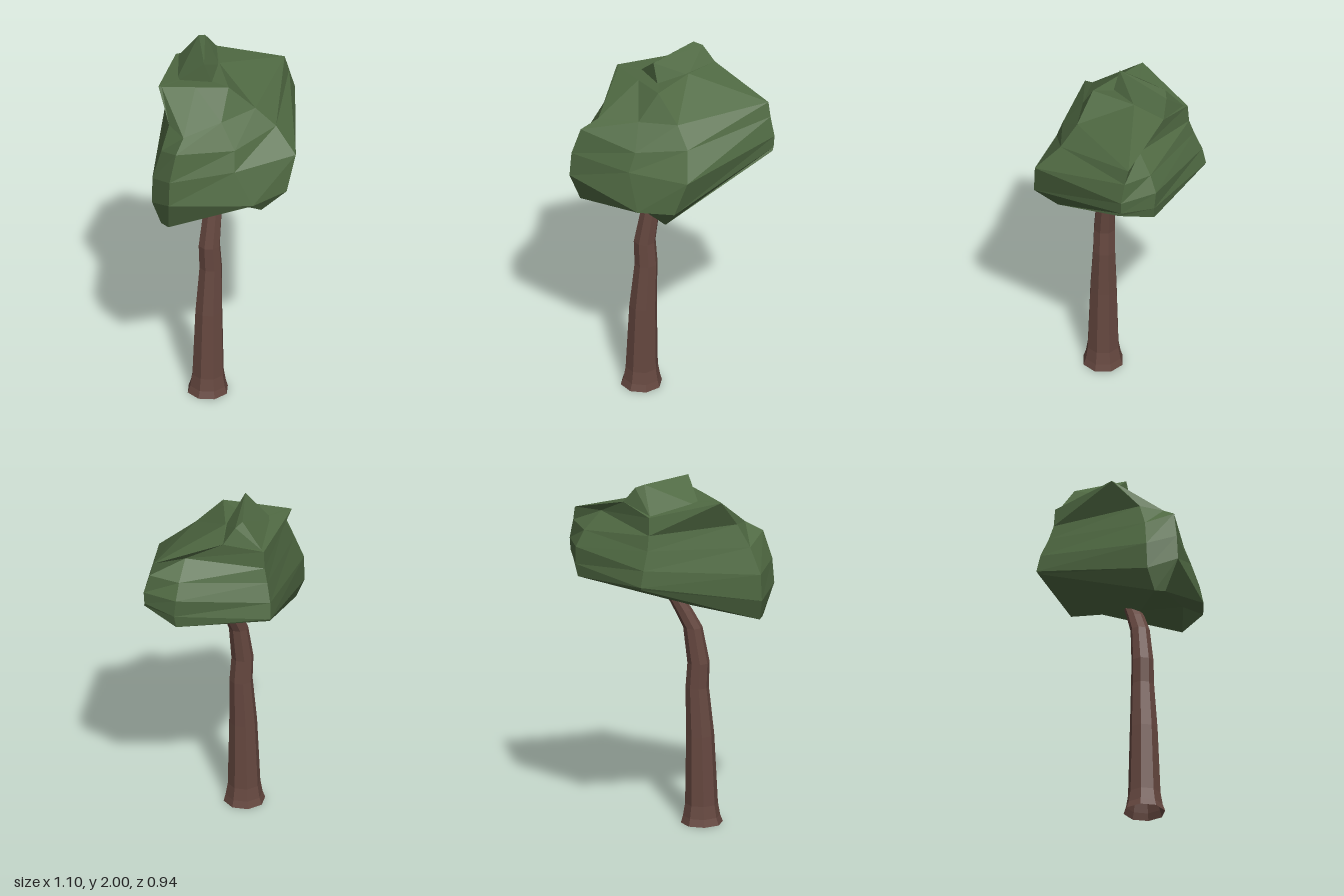
import * as THREE from 'three';
import { ConvexGeometry } from 'three/addons/geometries/ConvexGeometry.js';

const bark = new THREE.MeshStandardMaterial({ color: 0x664840, flatShading: true, side: THREE.DoubleSide });
const leaf = new THREE.MeshStandardMaterial({ color: 0x506a43, flatShading: true, side: THREE.DoubleSide });

// Skins a stack of rings (counter-clockwise from above); optional centre points close the ends
function loft(rings, bottom, top) {
  const n = rings[0].length;
  const pos = [];
  const tri = (a, b, c) => pos.push(...a, ...b, ...c);
  for (let k = 0; k < rings.length - 1; k++) {
    for (let i = 0; i < n; i++) {
      const j = (i + 1) % n;
      tri(rings[k][i], rings[k][j], rings[k + 1][j]);
      tri(rings[k][i], rings[k + 1][j], rings[k + 1][i]);
    }
  }
  const last = rings[rings.length - 1];
  for (let i = 0; i < n; i++) {
    const j = (i + 1) % n;
    if (bottom) tri(rings[0][j], rings[0][i], bottom);
    if (top) tri(last[i], last[j], top);
  }
  const g = new THREE.BufferGeometry();
  g.setAttribute('position', new THREE.Float32BufferAttribute(pos, 3));
  g.computeVertexNormals();
  return g;
}

function addPart(group, name, geometry, material) {
  const mesh = new THREE.Mesh(geometry, material);
  mesh.name = name;
  group.add(mesh);
}

export function createModel() {
  const group = new THREE.Group();
  group.name = 'tree';

  // Crooked tapering trunk: centre x, height, centre z, radius; open at the foot
  const sides = 8;
  const trunkRings = [
    [-0.172, 0, 0.09, 0.115],
    [-0.17, 0.04, 0.09, 0.102],
    [-0.17, 0.11, 0.09, 0.09],
    [-0.163, 0.5, 0.088, 0.077],
    [-0.147, 0.77, 0.085, 0.064],
    [-0.155, 0.91, 0.083, 0.061],
    [-0.125, 1.11, 0.076, 0.053],
    [-0.075, 1.21, 0.062, 0.049],
    [-0.02, 1.31, 0.04, 0.04],
  ].map(([x, y, z, r]) => Array.from({ length: sides }, (_, i) => {
    const a = ((i + 0.5) / sides) * Math.PI * 2;
    return [x + r * Math.sin(a), y, z + r * Math.cos(a)];
  }));
  addPart(group, 'trunk', loft(trunkRings, null, [-0.01, 1.32, 0.035]), bark);

  // Faceted crown; corners run front, right, back right, back, two left, front left
  const crownRings = [
    [[0, 1.18, 0.335], [0.535, 1.5, 0], [0.45, 1.43, -0.19], [0.02, 1.465, -0.46],
      [-0.5, 1.18, 0.08], [-0.5, 1.18, 0.14], [-0.15, 1.26, 0.31]],
    [[0.07, 1.33, 0.465], [0.54, 1.52, -0.01], [0.465, 1.5, -0.19], [0.02, 1.48, -0.47],
      [-0.525, 1.3, 0.035], [-0.55, 1.36, 0.2], [-0.14, 1.3, 0.425]],
    [[0.14, 1.53, 0.46], [0.545, 1.59, -0.01], [0.46, 1.6, -0.2], [0.01, 1.57, -0.45],
      [-0.52, 1.45, 0.03], [-0.54, 1.5, 0.195], [-0.2, 1.5, 0.343]],
    [[0.12, 1.66, 0.32], [0.52, 1.7, -0.03], [0.42, 1.69, -0.17], [0, 1.67, -0.405],
      [-0.46, 1.6, 0.035], [-0.49, 1.655, 0.19], [-0.17, 1.61, 0.31]],
    [[0.05, 1.76, 0.23], [0.505, 1.78, -0.05], [0.34, 1.79, -0.11], [0, 1.75, -0.378],
      [-0.39, 1.73, 0.02], [-0.4, 1.71, 0.15], [-0.17, 1.74, 0.2]],
    [[-0.07, 1.9, 0.145], [0.06, 1.9, -0.08], [0.18, 1.89, -0.24], [0, 1.85, -0.37],
      [-0.34, 1.89, -0.125], [-0.33, 1.89, -0.11], [-0.2, 1.895, 0.02]],
  ];
  addPart(group, 'crown', loft(crownRings, [-0.12, 1.23, 0.08], [-0.1, 1.88, -0.1]), leaf);

  // Wedge-shaped ridge on top of the crown
  const ridge = [
    [-0.12, 2, 0], [0.06, 2, -0.25], [0.11, 1.98, -0.255], [0.18, 1.89, -0.24],
    [-0.09, 1.88, 0.035], [-0.22, 1.86, -0.13], [0, 1.85, -0.35], [0.06, 1.89, -0.08],
  ].map((p) => new THREE.Vector3(...p));
  addPart(group, 'crownRidge', new ConvexGeometry(ridge), leaf);

  return group;
}
